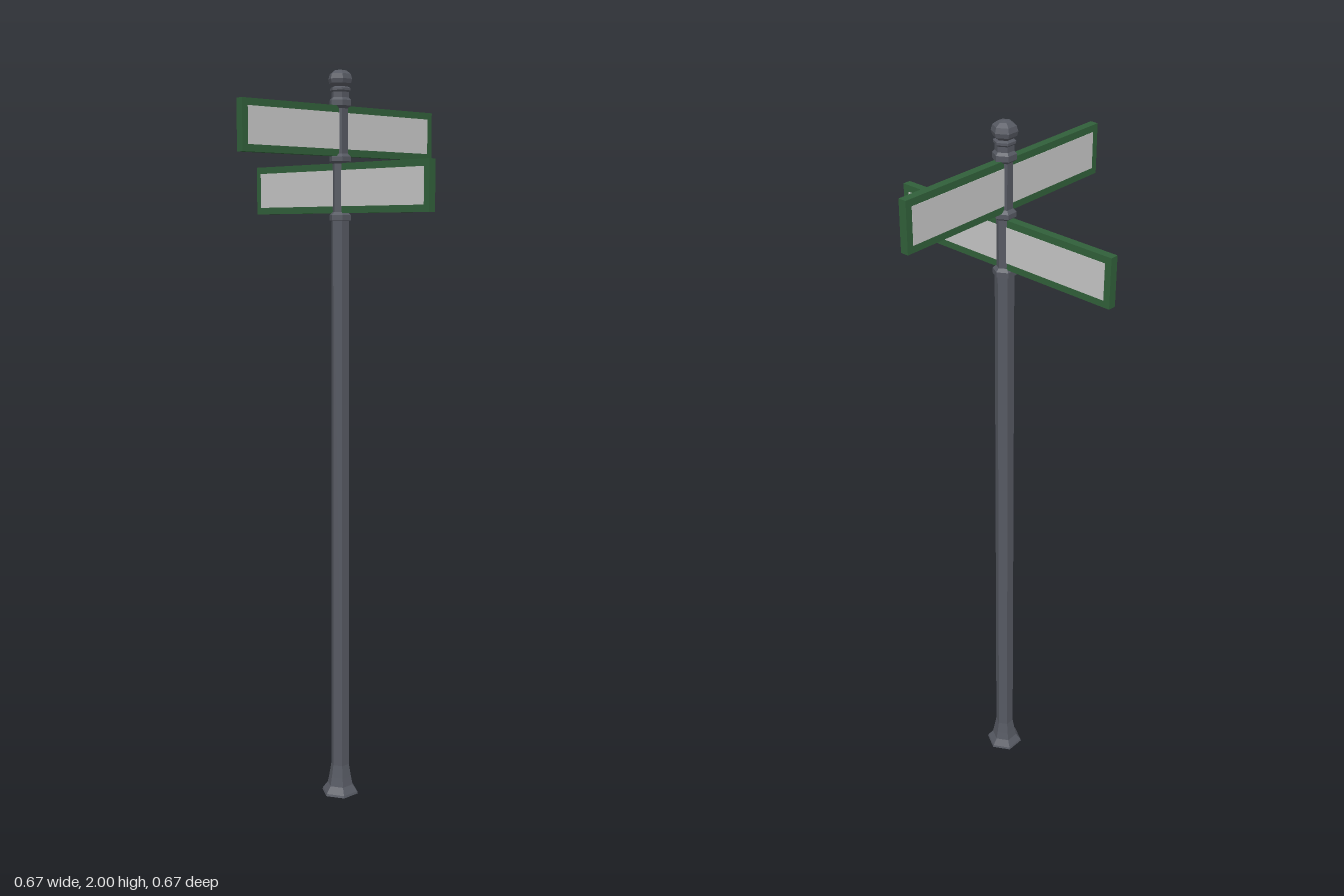
import * as THREE from 'three';

const mat = (name, color, flatShading = false) => {
  const m = new THREE.MeshStandardMaterial({ color, flatShading });
  m.name = name;
  return m;
};

export function createModel() {
  const iron = mat('iron grey', 0x565962, true);
  const green = mat('sign green', 0x31603a);
  const face = mat('sign face grey', 0xc6c6c6);
  const group = new THREE.Group();

  const add = (parent, name, geometry, material, x = 0, y = 0, z = 0) => {
    const mesh = new THREE.Mesh(geometry, material);
    mesh.name = name;
    mesh.position.set(x, y, z);
    parent.add(mesh);
    return mesh;
  };

  // Six-sided turned parts, with corners pointing along x
  const turned = (name, profile) => {
    const points = profile.map(([r, y]) => new THREE.Vector2(r, y));
    add(group, name, new THREE.LatheGeometry(points, 6, Math.PI / 6), iron);
  };
  turned('flaredBase', [[0, 0], [0.053, 0], [0.051, 0.006], [0.037, 0.025], [0.032, 0.05], [0.026, 0.085]]);
  turned('pole', [[0.026, 0.085], [0.025, 1.61]]);
  turned('lowerCollar', [[0.025, 1.608], [0.03, 1.61], [0.03, 1.624], [0.021, 1.632]]);
  turned('lowerSignPost', [[0.021, 1.632], [0.021, 1.758]]);
  turned('middleCollar', [[0.021, 1.758], [0.03, 1.764], [0.03, 1.776], [0.021, 1.784]]);
  turned('upperSignPost', [[0.021, 1.784], [0.021, 1.9]]);
  turned('upperCollar', [[0.021, 1.9], [0.03, 1.907], [0.03, 1.921], [0.024, 1.928], [0.024, 1.942],
    [0.028, 1.946], [0.028, 1.952], [0.02, 1.956]]);
  turned('ballFinial', [[0.02, 1.956], [0.03, 1.964], [0.033, 1.975], [0.029, 1.988], [0.017, 1.997], [0, 2]]);

  // Framed street signs, one along each axis
  const W = 0.674, H = 0.13, T = 0.022, border = 0.018;
  const sign = (name, y, turn) => {
    const g = new THREE.Group();
    g.name = name;
    g.position.y = y;
    g.rotation.y = turn;
    add(g, 'signFrame', new THREE.BoxGeometry(W, H, T), green);
    for (const side of [-1, 1]) {
      add(g, 'signFace', new THREE.BoxGeometry(W - 2 * border, H - 2 * border, 0.002), face,
        0, 0, side * T / 2);
    }
    group.add(g);
  };
  sign('upperSign', 1.842, 0);
  sign('lowerSign', 1.694, Math.PI / 2);

  return group;
}
